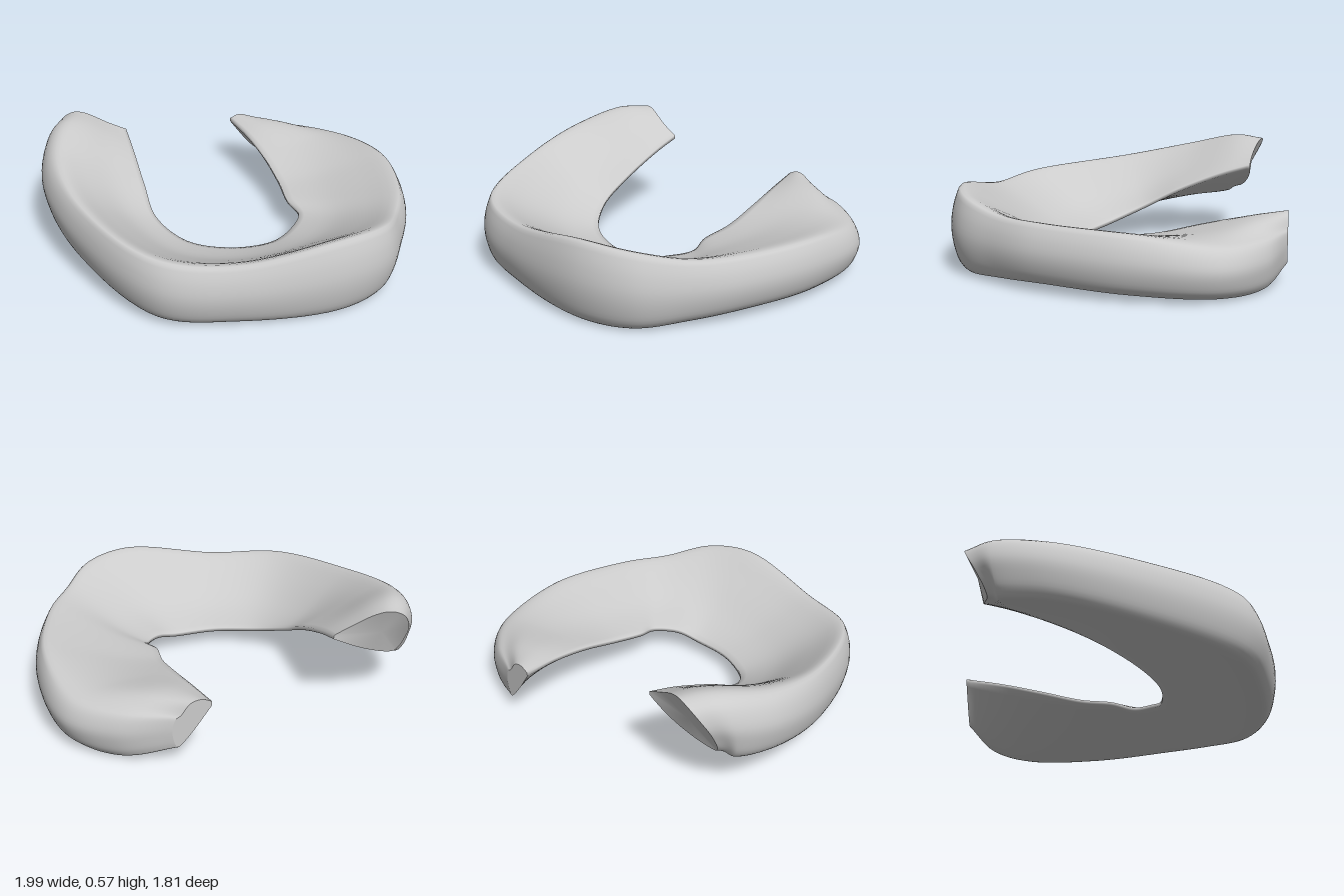
import * as THREE from 'three';

const { lerp, clamp, smoothstep } = THREE.MathUtils;
const STEPS = 117;

// Stations from the back of the left horn, round the front, to the right horn:
// outer x, outer z, inner x, inner z, crest y, base y, inner edge y
const stations = [
  [0.28, -0.905, 0.09, -0.86, 0.26, 0.09, 0.3],
  [0.56, -0.875, 0.18, -0.66, 0.27, 0.02, 0.28],
  [0.81, -0.73, 0.26, -0.45, 0.27, 0.015, 0.24],
  [0.97, -0.32, 0.32, -0.24, 0.32, 0.03, 0.19],
  [0.97, 0.15, 0.35, -0.06, 0.335, 0.04, 0.165],
  [0.89, 0.42, 0.4, 0.05, 0.345, 0.025, 0.14],
  [0.775, 0.67, 0.34, 0.18, 0.4, 0.005, 0.12],
  [0.53, 0.83, 0.24, 0.25, 0.42, 0, 0.09],
  [0, 0.9, 0.02, 0.3, 0.345, 0.01, 0.09],
  [-0.4, 0.85, -0.22, 0.25, 0.365, 0.02, 0.11],
  [-0.8, 0.4, -0.38, 0.11, 0.425, 0.1, 0.18],
  [-0.98, 0, -0.44, -0.08, 0.505, 0.175, 0.28],
  [-0.985, -0.3, -0.5, -0.32, 0.57, 0.22, 0.38],
  [-0.94, -0.47, -0.54, -0.48, 0.56, 0.26, 0.43],
];

const track = (pick) => new THREE.CatmullRomCurve3(stations.map((s) => new THREE.Vector3(...pick(s))));
const outerTrack = track((s) => [s[0], s[4], s[1]]);
const innerTrack = track((s) => [s[2], s[6], s[3]]);
const baseTrack = track((s) => [s[0], s[5], s[1]]);

// Wedge section: thin inner edge, dished top, rounded outer wall, gently arched base
function section(t) {
  const outer = outerTrack.getPoint(t);
  const inner = innerTrack.getPoint(t);
  const base = baseTrack.getPoint(t).y;
  const top = outer.y, edge = inner.y;
  const leftHorn = 1 - smoothstep(t, 0.06, 0.25);
  const rightHorn = smoothstep(t, 0.7, 1);
  // Towards the horns the crest moves inward and the dish fills; the left horn swells on top
  const crest = 0.89 - 0.12 * leftHorn - 0.17 * rightHorn;
  const wall = 1 - crest;
  const fill = 0.2 * rightHorn;
  const swell = 0.04 * leftHorn;
  // The right horn is cut at a slant
  const lean = 0.17 * smoothstep(t, 0.87, 1);
  const profile = new THREE.SplineCurve([
    [0, edge + 0.01],
    [crest * 0.35, lerp(edge, top, 0.26 + fill) + swell],
    [crest * 0.72, lerp(edge, top, 0.68 + fill) + swell],
    [crest, top],
    [crest + wall * 0.65, lerp(base, top, 0.88)],
    [1, lerp(base, top, 0.58)],
    [0.985, lerp(base, top, 0.3)],
    [0.93, lerp(base, top, 0.07)],
    [0.82, base],
    [0.45, lerp(base, edge, 0.38)],
    [0, edge - 0.01],
  ].map((p) => new THREE.Vector2(...p)));
  return profile.getPoints(40).map((p) => {
    const depth = clamp((top - p.y) / (top - base), 0, 1);
    return new THREE.Vector3(lerp(inner.x, outer.x, p.x), p.y, lerp(inner.z, outer.z, p.x) + lean * depth * p.x);
  });
}

function geometryFrom(points, index) {
  const geometry = new THREE.BufferGeometry().setFromPoints(points);
  geometry.setIndex(index);
  geometry.computeVertexNormals();
  return geometry;
}

// Skin joining all sections
function loft(rings) {
  const n = rings[0].length, index = [];
  for (let i = 0; i < rings.length - 1; i++) {
    for (let j = 0; j < n; j++) {
      const a = i * n + j, b = i * n + (j + 1) % n;
      index.push(a, a + n, b, b, a + n, b + n);
    }
  }
  return geometryFrom(rings.flat(), index);
}

// Fan closing one end of a horn
function cap(ring) {
  const n = ring.length, index = [];
  const center = ring.reduce((sum, p) => sum.add(p), new THREE.Vector3()).divideScalar(n);
  for (let j = 0; j < n; j++) index.push(n, j, (j + 1) % n);
  return geometryFrom([...ring, center], index);
}

export function createModel() {
  const group = new THREE.Group();
  group.name = 'crescentWedge';
  const material = new THREE.MeshStandardMaterial({ color: 0xcccccc });
  const add = (name, geometry) => {
    const mesh = new THREE.Mesh(geometry, material);
    mesh.name = name;
    group.add(mesh);
  };
  const rings = Array.from({ length: STEPS + 1 }, (_, i) => section(i / STEPS));
  add('crescentBody', loft(rings));
  add('leftHornEnd', cap(rings[0]));
  add('rightHornEnd', cap([...rings[STEPS]].reverse()));
  return group;
}
